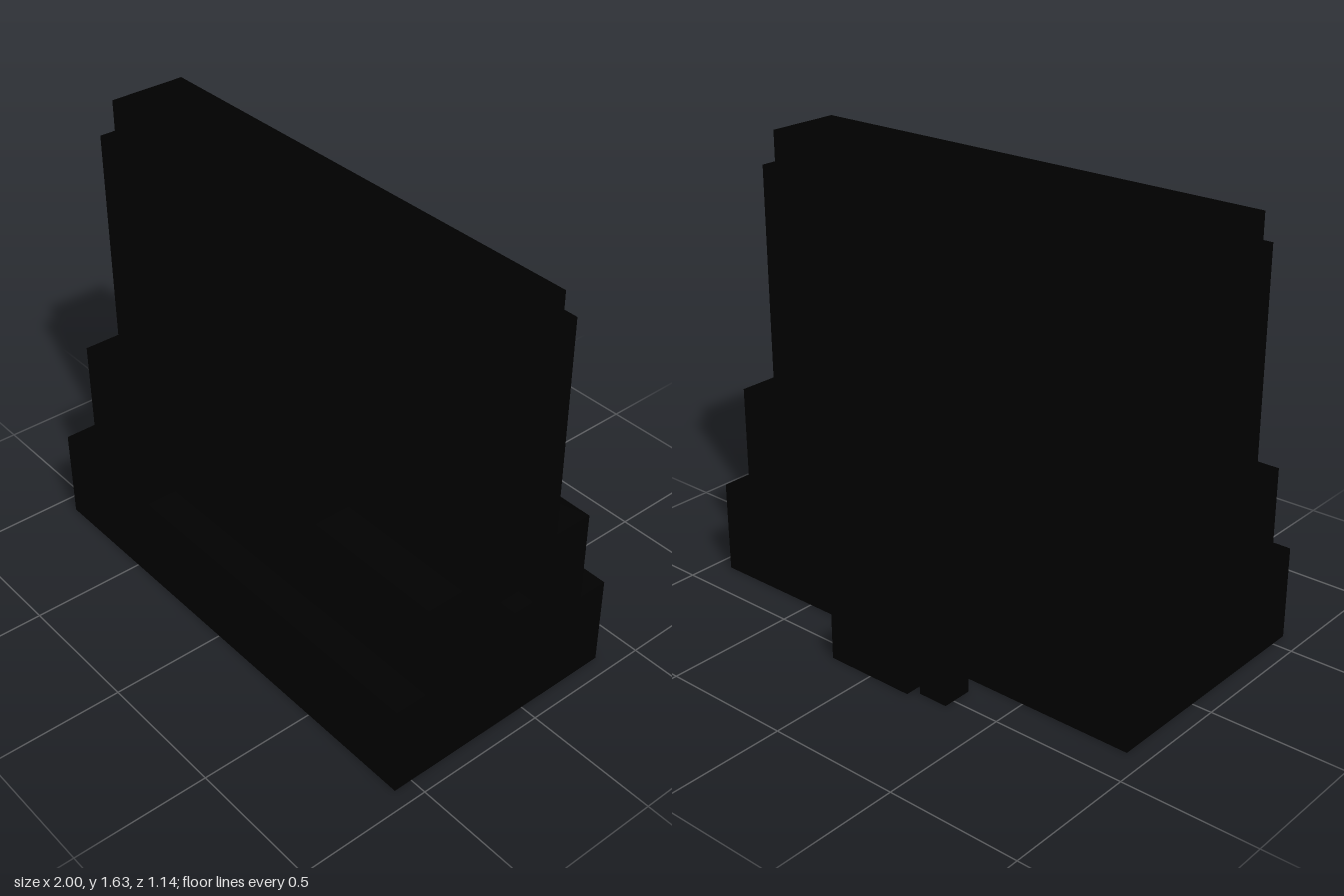
import * as THREE from 'three';

const black = new THREE.MeshStandardMaterial({ color: 0x000000 });
black.name = 'black';

// Box given by its limits on each axis
function box(name, [x0, x1], [y0, y1], [z0, z1]) {
  const mesh = new THREE.Mesh(new THREE.BoxGeometry(x1 - x0, y1 - y0, z1 - z0), black);
  mesh.position.set((x0 + x1) / 2, (y0 + y1) / 2, (z0 + z1) / 2);
  mesh.name = name;
  return mesh;
}

// Side profile of [z, y] points, extruded along x
function slice(name, points, x0, x1) {
  const shape = new THREE.Shape(points.map(([z, y]) => new THREE.Vector2(-z, y)));
  const geo = new THREE.ExtrudeGeometry(shape, { depth: x1 - x0, bevelEnabled: false });
  geo.rotateY(Math.PI / 2).translate(x0, 0, 0);
  const mesh = new THREE.Mesh(geo, black);
  mesh.name = name;
  return mesh;
}

export function createModel() {
  const model = new THREE.Group();
  model.name = 'steppedWall';

  // Stepped wall: front and top are shared, the back is cut away at the doorway
  const front = [[0.57, 0], [0.57, 0.35], [0.45, 0.35], [0.45, 0.70], [0.31, 0.70], [0.31, 1.52],
    [0.25, 1.52], [0.25, 1.635], [-0.04, 1.635], [-0.04, 1.52], [-0.10, 1.52]];
  const steppedBack = [[-0.10, 0.70], [-0.25, 0.70], [-0.25, 0.35], [-0.365, 0.35], [-0.365, 0]];
  const doorwayBack = [[-0.10, 1.17], [0.03, 1.17], [0.03, 0.25], [-0.365, 0.25], [-0.365, 0]];
  model.add(
    slice('wallRight', [...front, ...steppedBack], -0.925, -0.4),
    slice('wallMiddle', [...front, ...doorwayBack], -0.4, 0.4),
    slice('wallLeft', [...front, ...steppedBack], 0.4, 0.935),
  );

  // Doorway fittings
  model.add(
    box('doorPost', [0.17, 0.23], [0.25, 1.17], [-0.02, 0.03]),
    box('shelf', [-0.22, 0.4], [0.60, 0.635], [-0.05, 0.03]),
    box('openDoor', [-0.28, -0.22], [0.25, 1.05], [-0.112, 0.03]),
    box('doorKnob', [-0.22, -0.16], [0.63, 0.68], [-0.10, -0.06]),
  );

  // Steps on the ground behind the doorway
  model.add(
    box('largeStep', [-0.17, 0.18], [0, 0.175], [-0.57, -0.395]),
    box('smallStep', [-0.315, -0.2], [0, 0.115], [-0.54, -0.425]),
  );

  // Pegs on the left end
  for (const y of [0.47, 1.17]) model.add(box('peg', [0.935, 1], [y, y + 0.085], [0.06, 0.14]));

  // Square ring on the right end, holding an upright rod
  const holder = new THREE.Group();
  holder.name = 'rodHolder';
  const y = [0.295, 0.38];
  holder.add(
    box('ringOuterSide', [-1, -0.972], y, [0.052, 0.148]),
    box('ringInnerSide', [-0.932, -0.925], y, [0.052, 0.148]),
    box('ringFrontSide', [-0.972, -0.932], y, [0.12, 0.148]),
    box('ringBackSide', [-0.972, -0.932], y, [0.052, 0.08]),
    box('rod', [-0.964, -0.94], [0.18, 0.53], [0.088, 0.112]),
  );
  model.add(holder);
  return model;
}
